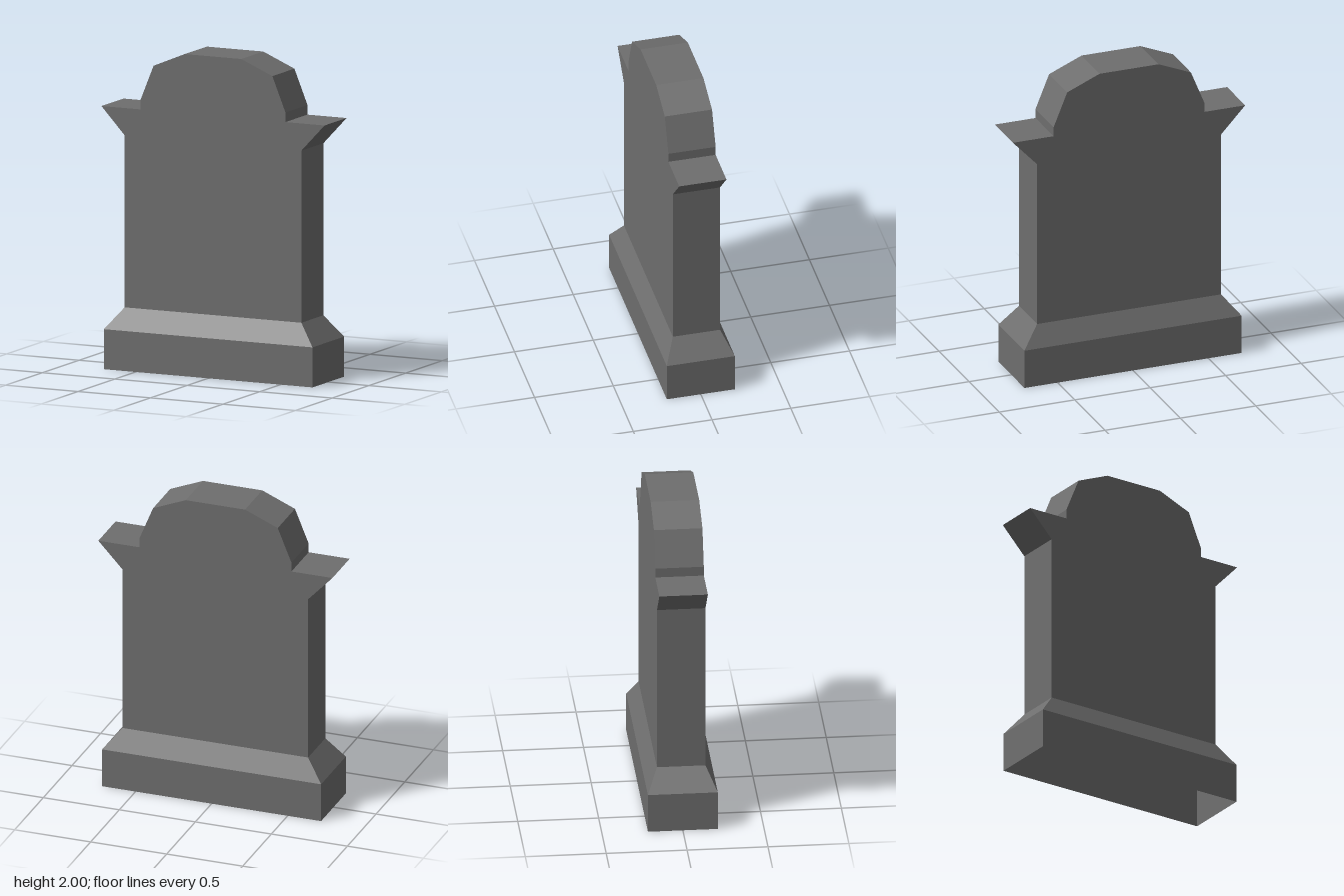
import * as THREE from 'three';

const TOP = 0.385, HALF_DEPTH = 0.15;

// Open four-sided skin through rectangular levels [halfWidth, y, halfDepth]
function rectSkin(levels) {
  const pos = [];
  const corners = ([w, y, d]) => [[-w, y, d], [w, y, d], [w, y, -d], [-w, y, -d]];
  for (let i = 0; i < levels.length - 1; i++) {
    const lo = corners(levels[i]), hi = corners(levels[i + 1]);
    for (let k = 0; k < 4; k++) {
      const n = (k + 1) % 4;
      pos.push(...lo[k], ...lo[n], ...hi[n], ...lo[k], ...hi[n], ...hi[k]);
    }
  }
  const g = new THREE.BufferGeometry();
  g.setAttribute('position', new THREE.Float32BufferAttribute(pos, 3));
  g.computeVertexNormals();
  return g;
}

// Extruded slab with its underside removed, so it opens into the hollow base
function slabGeometry() {
  const half = [[0.61, TOP], [0.61, 1.46], [0.77, 1.63], [0.5, 1.63], [0.5, 1.69], [0.41, 1.91], [0.195, 2]];
  const outline = [...half, ...half.map(([x, y]) => [-x, y]).reverse()];
  const shape = new THREE.Shape(outline.map(([x, y]) => new THREE.Vector2(x, y)));
  const solid = new THREE.ExtrudeGeometry(shape, { depth: 2 * HALF_DEPTH, bevelEnabled: false });
  solid.translate(0, 0, -HALF_DEPTH);
  const p = solid.attributes.position, pos = [];
  for (let i = 0; i < p.count; i += 3) {
    const tri = [i, i + 1, i + 2];
    if (tri.every((j) => p.getY(j) < TOP + 0.001)) continue;
    for (const j of tri) pos.push(p.getX(j), p.getY(j), p.getZ(j));
  }
  const g = new THREE.BufferGeometry();
  g.setAttribute('position', new THREE.Float32BufferAttribute(pos, 3));
  g.computeVertexNormals();
  return g;
}

export function createModel() {
  const group = new THREE.Group();
  group.name = 'gravestone';
  const stone = new THREE.MeshStandardMaterial({ color: 0x6e6e6e, flatShading: true, side: THREE.DoubleSide });
  stone.name = 'grey stone';

  const add = (name, geometry) => {
    const mesh = new THREE.Mesh(geometry, stone);
    mesh.name = name;
    group.add(mesh);
  };

  // Plinth with sloped shoulder, open underneath
  add('plinth', rectSkin([[0.72, 0, 0.216], [0.72, 0.25, 0.216], [0.61, TOP, HALF_DEPTH]]));
  // Upright slab with pointed side ledges and a faceted arch
  add('slab', slabGeometry());
  return group;
}
